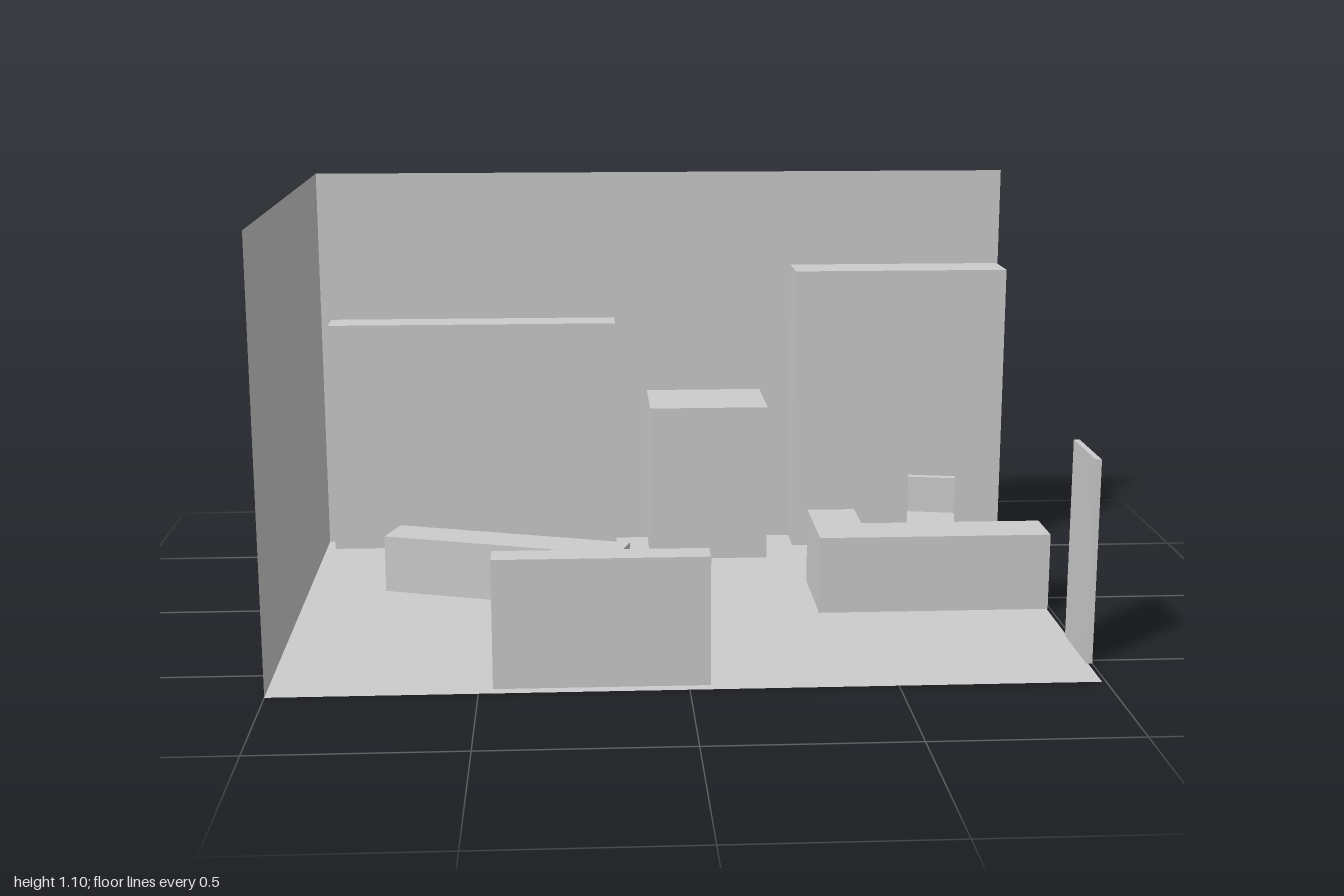
import * as THREE from 'three';

const material = new THREE.MeshStandardMaterial({ color: 0xcccccc, flatShading: true, side: THREE.DoubleSide });

// Room extents and the small gap under the furniture
const X0 = -1, X1 = 0.99, Z0 = -0.65, Z1 = 0.65, HEIGHT = 1.1, BASE = 0.01;

export function createModel() {
  const group = new THREE.Group();

  const add = (name, geometry) => {
    const mesh = new THREE.Mesh(geometry, material);
    mesh.name = name;
    group.add(mesh);
    return mesh;
  };

  // Box given by its limits on each axis
  const block = (name, x0, x1, y0, y1, z0, z1) =>
    add(name, new THREE.BoxGeometry(x1 - x0, y1 - y0, z1 - z0))
      .position.set((x0 + x1) / 2, (y0 + y1) / 2, (z0 + z1) / 2);

  const extrude = (points, depth) => new THREE.ExtrudeGeometry(
    new THREE.Shape(points.map(([x, y]) => new THREE.Vector2(x, y))),
    { depth, bevelEnabled: false });

  // Side profile of [z, y] points, extruded across x and centred on it
  const sideProfile = (points, width) =>
    extrude(points, width).rotateY(-Math.PI / 2).translate(width / 2, 0, 0);

  // Room shell: thin floor and two walls
  const midX = (X0 + X1) / 2;
  add('floor', new THREE.PlaneGeometry(X1 - X0, Z1 - Z0).rotateX(-Math.PI / 2)).position.x = midX;
  add('backWall', new THREE.PlaneGeometry(X1 - X0, HEIGHT)).position.set(midX, HEIGHT / 2, Z0);
  add('rightWall', new THREE.PlaneGeometry(Z1 - Z0, HEIGHT).rotateY(Math.PI / 2)).position.set(X0, HEIGHT / 2, 0);

  // Furniture along the back wall
  block('bookcase', -0.97, -0.145, BASE, 0.675, -0.643, -0.54);
  block('cabinet', -0.05, 0.285, BASE, 0.455, -0.643, -0.387);
  block('wardrobe', 0.374, 0.985, BASE, 0.827, -0.643, -0.505);

  // Door at the open side
  block('door', 0.985, 1, 0, 0.517, 0.313, 0.523);

  // Low bench, turned on the floor
  const bench = add('bench', new THREE.BoxGeometry(0.662, 0.155, 0.115));
  bench.position.set(-0.453, BASE + 0.0775, -0.079);
  bench.rotation.y = -0.315;

  // L-shaped desk, outlined from above as [x, -z]
  const desk = add('desk', extrude([
    [0.374, -0.125], [0.985, -0.125], [0.985, 0.012],
    [0.503, 0.012], [0.503, 0.155], [0.374, 0.155],
  ], 0.205).rotateX(-Math.PI / 2));
  desk.position.y = BASE;

  // Sofa with its back towards the front edge
  add('sofa', sideProfile([
    [0.475, BASE], [0.648, BASE], [0.648, 0.327],
    [0.575, 0.327], [0.575, 0.19], [0.475, 0.19],
  ], 0.515)).position.x = -0.208;

  // Chair, turned slightly towards the desk
  const chair = add('chair', sideProfile([
    [-0.074, BASE], [0.074, BASE], [0.074, 0.155],
    [-0.05, 0.155], [-0.05, 0.257], [-0.074, 0.257],
  ], 0.133));
  chair.position.set(0.741, 0, -0.28);
  chair.rotation.y = -0.19;

  return group;
}
